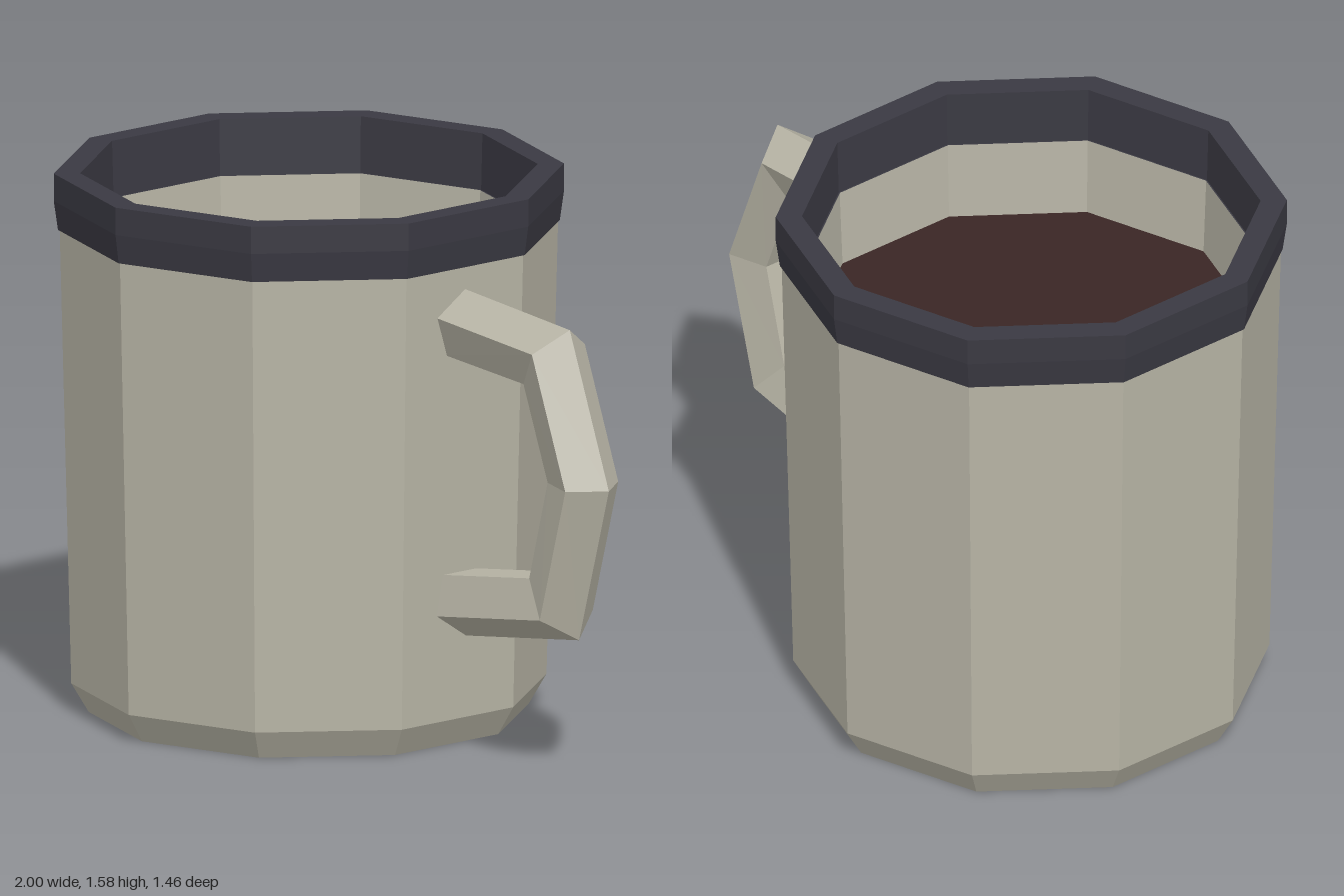
import * as THREE from 'three';

const SIDES = 10;
const AXIS_X = -0.305;

const ceramic = new THREE.MeshStandardMaterial({ color: 0xb8b5a6 });
ceramic.name = 'warm grey ceramic';
const dark = new THREE.MeshStandardMaterial({ color: 0x3a3942 });
dark.name = 'dark rim';
const coffee = new THREE.MeshStandardMaterial({ color: 0x3a2625 });
coffee.name = 'coffee brown';

// Split the faces so every facet has its own flat normal
function faceted(geometry) {
  const flat = geometry.index ? geometry.toNonIndexed() : geometry;
  flat.computeVertexNormals();
  return flat;
}

function part(name, geometry, material) {
  const mesh = new THREE.Mesh(faceted(geometry), material);
  mesh.name = name;
  return mesh;
}

// Ten-sided turned part from [radius, height] pairs
function turned(name, profile, material) {
  const points = profile.map(([r, y]) => new THREE.Vector2(r, y));
  const mesh = part(name, new THREE.LatheGeometry(points, SIDES), material);
  mesh.position.x = AXIS_X;
  return mesh;
}

// Five-sided bar: each section runs from an outer ridge to a flat inner face
function handleGeometry(sections) {
  const ring = [[0, 0], [0.382, 0.1], [1, 0.062], [1, -0.062], [0.382, -0.1]];
  const n = ring.length;
  const positions = [];
  const index = [];
  for (const [ox, oy, ix, iy] of sections) {
    for (const [t, z] of ring) {
      positions.push(ox + (ix - ox) * t, oy + (iy - oy) * t, z);
    }
  }
  for (let s = 0; s < sections.length - 1; s++) {
    for (let i = 0; i < n; i++) {
      const a = s * n + i;
      const b = s * n + ((i + 1) % n);
      index.push(a, b, a + n, b, b + n, a + n);
    }
  }
  // End caps
  const last = (sections.length - 1) * n;
  for (let i = 1; i < n - 1; i++) {
    index.push(0, i + 1, i, last, last + i, last + i + 1);
  }
  const geometry = new THREE.BufferGeometry();
  geometry.setAttribute('position', new THREE.Float32BufferAttribute(positions, 3));
  geometry.setIndex(index);
  return geometry;
}

export function createModel() {
  const mug = new THREE.Group();
  mug.name = 'mug';

  // Tapered wall with a bevelled foot, and the inside wall
  mug.add(turned('body', [[0, 0], [0.63, 0], [0.68, 0.085], [0.713, 1.415]], ceramic));
  mug.add(turned('innerWall', [[0.647, 1.415], [0.636, 1.15]], ceramic));

  // Flared rim band
  mug.add(turned('rim', [
    [0.713, 1.415], [0.718, 1.415], [0.73, 1.5], [0.73, 1.58],
    [0.655, 1.58], [0.65, 1.415], [0.646, 1.415],
  ], dark));

  // Drink surface
  mug.add(turned('drink', [[0.638, 1.18], [0, 1.18]], coffee));

  // Handle sections: outer x, y and inner x, y
  mug.add(part('handle', handleGeometry([
    [0.375, 1.35, 0.36, 1.163],
    [0.83, 1.312, 0.7, 1.14],
    [1.0, 0.87, 0.805, 0.87],
    [0.87, 0.41, 0.725, 0.575],
    [0.378, 0.335, 0.349, 0.517],
  ]), ceramic));

  return mug;
}
